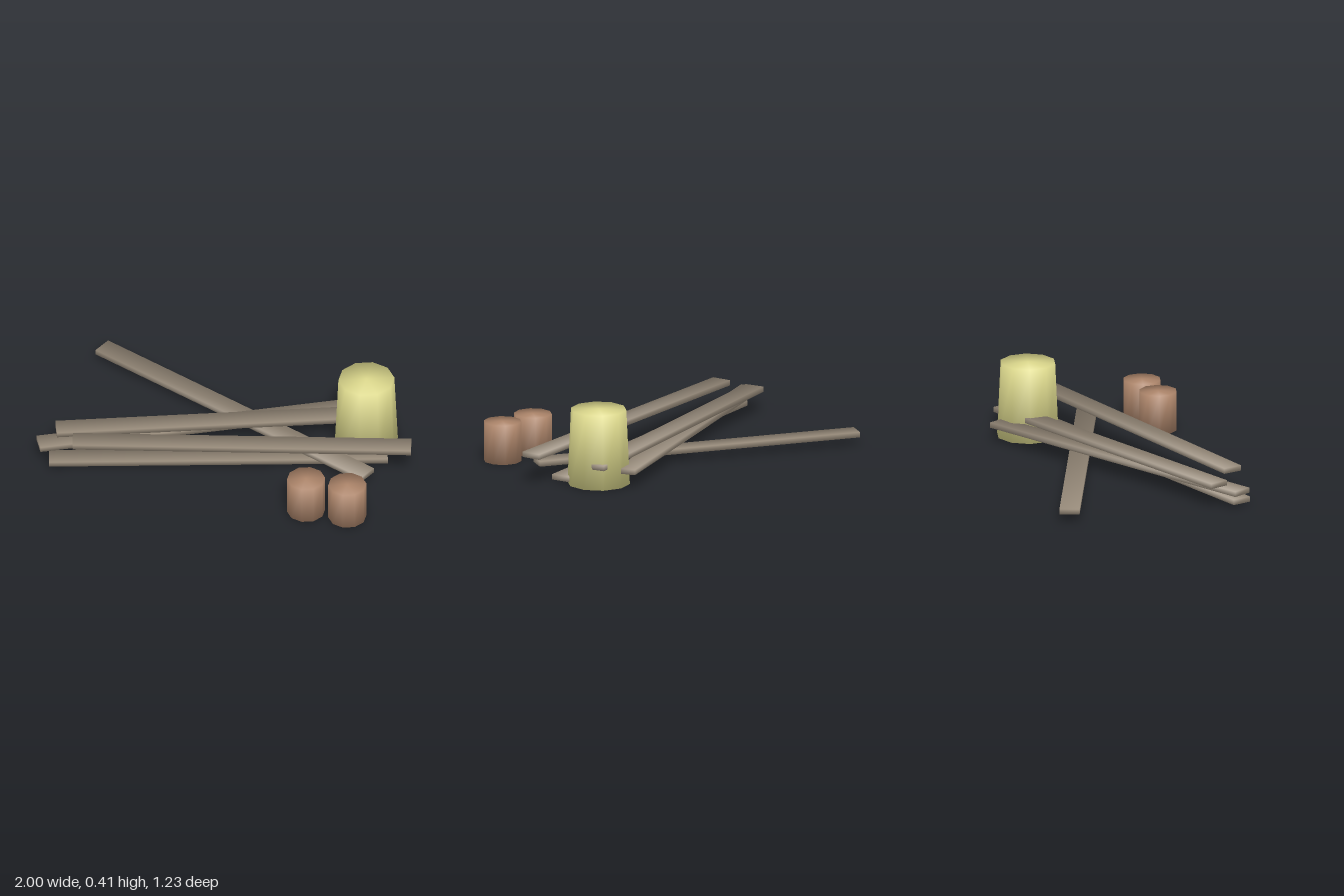
import * as THREE from 'three';

// Soft shading: corner normals blend the faces that meet there
function softBox(length, height, width) {
  const geo = new THREE.BoxGeometry(length, height, width);
  const p = geo.attributes.position, n = geo.attributes.normal, v = new THREE.Vector3();
  for (let i = 0; i < p.count; i++) {
    v.set(Math.sign(p.getX(i)), Math.sign(p.getY(i)), Math.sign(p.getZ(i))).normalize();
    n.setXYZ(i, v.x, v.y, v.z);
  }
  return geo;
}

function softCylinder(top, bottom, height) {
  const geo = new THREE.CylinderGeometry(top, bottom, height, 10);
  const p = geo.attributes.position, n = geo.attributes.normal, v = new THREE.Vector3();
  for (let i = 0; i < p.count; i++) {
    v.set(p.getX(i), 0, p.getZ(i)).normalize();
    v.y = 0.7 * Math.sign(p.getY(i));
    v.normalize();
    n.setXYZ(i, v.x, v.y, v.z);
  }
  return geo.translate(0, height / 2, 0);
}

export function createModel() {
  const group = new THREE.Group();
  const material = (name, color) => {
    const m = new THREE.MeshStandardMaterial({ color });
    m.name = name;
    return m;
  };
  const wood = material('weathered wood', 0x9c8f7e);
  const yellow = material('pale yellow', 0xdeda8e);
  const brown = material('tan brown', 0xae866b);

  const add = (name, geo, mat, x, y, z) => {
    const mesh = new THREE.Mesh(geo, mat);
    mesh.name = name;
    mesh.position.set(x, y, z);
    group.add(mesh);
    return mesh;
  };

  // Loose stack of planks, bottom to top: left end x, z and right end x, z
  const planks = [
    [-0.916, 0.404, 0.838, -0.03],
    [-0.851, -0.565, 0.784, 0.209],
    [-0.98, 0.38, 0.672, -0.356],
    [-0.907, 0.276, 0.816, -0.27],
    [-0.787, 0.404, 0.985, 0.048],
  ];
  const plankGeo = softBox(1.808, 0.029, 0.108);
  planks.forEach(([x0, z0, x1, z1], i) => {
    const plank = add(`plank${i + 1}`, plankGeo, wood, (x0 + x1) / 2, 0.025 + i * 0.0343, (z0 + z1) / 2);
    plank.rotation.y = -Math.atan2(z1 - z0, x1 - x0);
  });

  // Tapered bucket standing over the plank ends
  add('bucket', softCylinder(0.15, 0.169, 0.408), yellow, 0.69, 0, -0.169);

  // Pair of small cans
  const canGeo = softCylinder(0.102, 0.102, 0.216);
  for (const [i, x] of [0.516, 0.742].entries()) add(`can${i + 1}`, canGeo, brown, x, 0, 0.511);

  return group;
}
